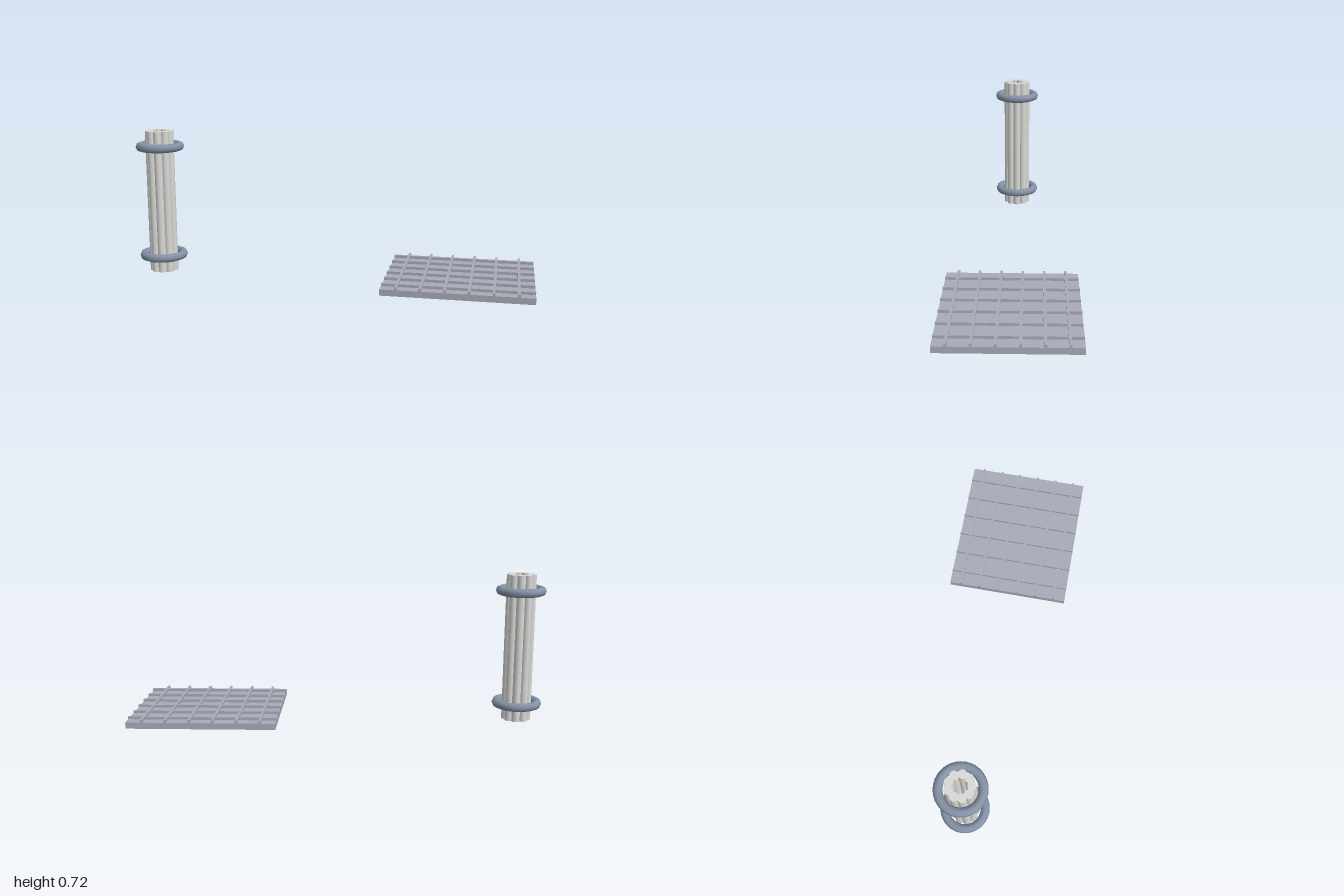
import * as THREE from 'three';

const mat = (name, color) => {
  const m = new THREE.MeshStandardMaterial({ color });
  m.name = name;
  return m;
};

export function createModel() {
  const stone = mat('pale stone', 0xd9d9d6);
  const steel = mat('blue grey steel', 0x8593a8);
  const slate = mat('light slate', 0xa8acb8);
  const model = new THREE.Group();

  const add = (parent, name, geometry, material, x, y, z) => {
    const mesh = new THREE.Mesh(geometry, material);
    mesh.name = name;
    mesh.position.set(x, y, z);
    parent.add(mesh);
    return mesh;
  };

  // Column: a ring of rods held by two hoops
  const column = new THREE.Group();
  column.name = 'column';
  column.position.x = -0.879;
  model.add(column);

  const rodCount = 9, height = 0.724;
  const rod = new THREE.CylinderGeometry(0.0205, 0.0205, height, 16);
  for (let i = 0; i < rodCount; i++) {
    const a = (i / rodCount) * Math.PI * 2;
    add(column, 'columnRod', rod, stone, Math.cos(a) * 0.0515, height / 2, Math.sin(a) * 0.0515);
  }

  const hoop = new THREE.TorusGeometry(0.0995, 0.0215, 8, 32).rotateX(Math.PI / 2);
  add(column, 'lowerHoop', hoop, steel, 0, 0.082, 0);
  add(column, 'upperHoop', hoop, steel, 0, 0.644, 0);

  // Floor panel: a slab with a raised lattice
  const panel = new THREE.Group();
  panel.name = 'floorPanel';
  panel.position.x = 0.6465;
  model.add(panel);

  const width = 0.707, depth = 0.622, bar = 0.012, barHeight = 0.013;
  add(panel, 'slab', new THREE.BoxGeometry(width, 0.03, depth), slate, 0, 0.0415, 0);
  const crossBar = new THREE.BoxGeometry(width, barHeight, bar);
  const longBar = new THREE.BoxGeometry(bar, barHeight, depth);
  for (let i = -2.5; i <= 2.5; i++) {
    add(panel, 'crossBar', crossBar, slate, 0, 0.063, i * 0.1007);
    add(panel, 'longBar', longBar, slate, i * 0.1118, 0.063, 0);
  }

  return model;
}
